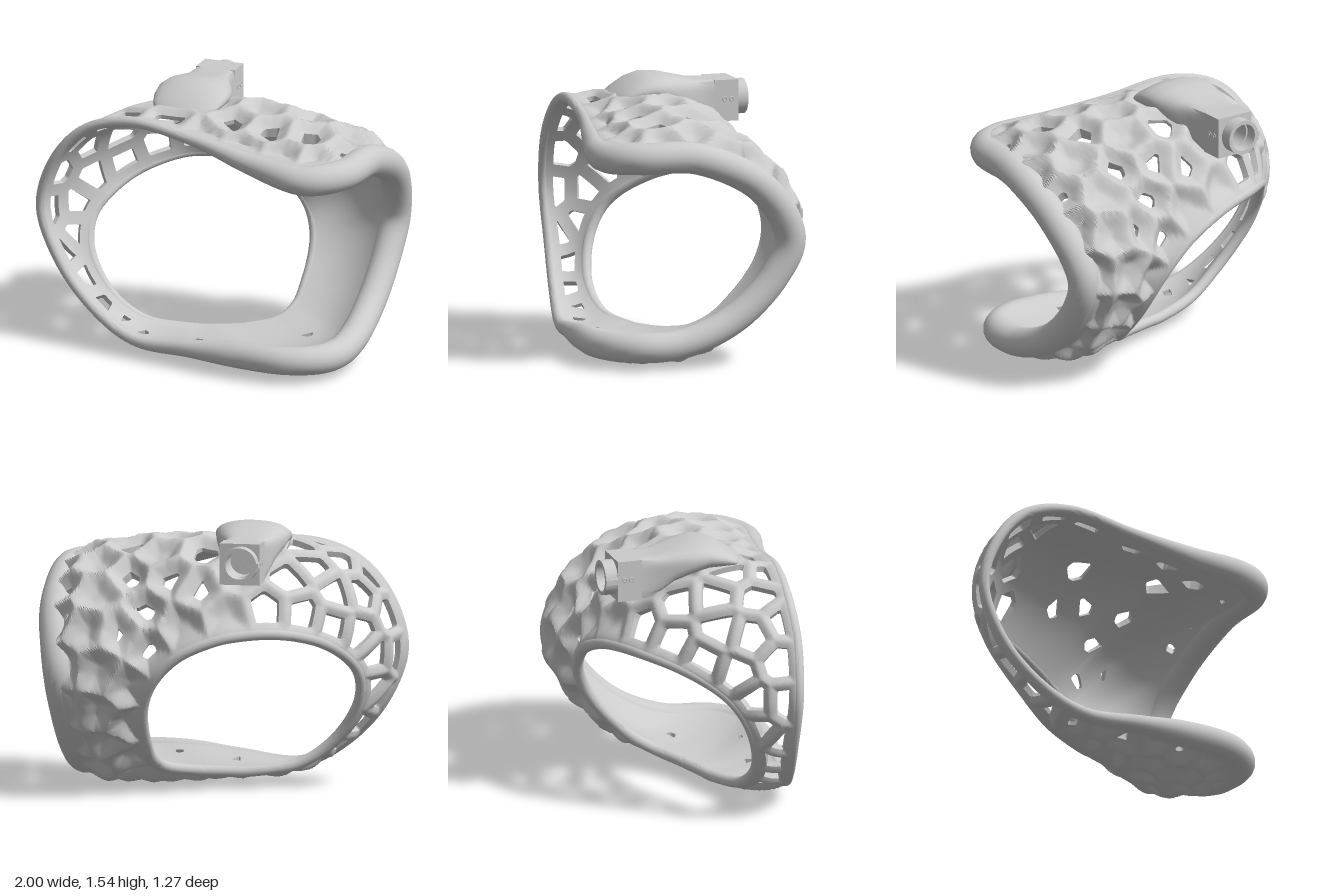
import * as THREE from 'three';
import { mergeVertices, toCreasedNormals } from 'three/addons/utils/BufferGeometryUtils.js';

const V = (x, y, z) => new THREE.Vector3(x, y, z);
const { lerp, clamp, smoothstep } = THREE.MathUtils;
const grey = new THREE.MeshStandardMaterial({ color: 0xcccccc, side: THREE.DoubleSide });
const loop = (a) => {
  const pts = [];
  for (let i = 0; i < a.length; i += 3) pts.push(V(a[i], a[i + 1], a[i + 2]));
  return new THREE.CatmullRomCurve3(pts, true, 'catmullrom', 0.5);
};

// Edge of the front opening, from the right side over the top
const front = loop([
  -.97, .78, .32, -.88, 1.08, .34, -.68, 1.29, .35, -.38, 1.37, .38, 0, 1.32, .42, .35, 1.25, .49,
  .68, 1.205, .54, .87, 1.21, .38, .91, 1.2, .05, .905, 1.03, -.31, .85, .74, -.51, .83, .5, -.43,
  .82, .27, -.2, .82, .14, .1, .79, .12, .38, .6, .12, .53, .3, .12, .53, 0, .11, .5,
  -.35, .1, .44, -.62, .23, .38, -.85, .47, .33]);
// Edge of the back opening, same order
const back = loop([
  -.77, .65, .06, -.71, .78, -.05, -.58, .89, -.23, -.38, .95, -.42, -.15, .94, -.52, 0, .9, -.56,
  .13, .84, -.58, .22, .77, -.58, .29, .69, -.57, .34, .6, -.54, .37, .5, -.49, .38, .4, -.42,
  .38, .3, -.33, .37, .2, -.22, .31, .13, -.1, .16, .1, 0, 0, .09, .06, -.15, .09, .1,
  -.4, .13, .17, -.6, .27, .19, -.74, .47, .14]);
// Per station: bulge of the wall, front rim radius, openness of the lattice
const profile = loop([
  .04, .03, 1, .07, .03, 1, .1, .03, 1, .18, .03, .95, .27, .035, .5, .33, .06, .4,
  .33, .085, .35, .3, .09, .3, .24, .09, .2, .16, .09, 0, .07, .09, 0, .05, .085, 0,
  .05, .085, 0, .06, .085, 0, .06, .085, .1, .055, .08, .25, .04, .075, .3, .03, .05, .4,
  .03, .035, .6, .02, .03, .9, .03, .03, 1]);
const BACK_R = 0.032;
const wrap = (u) => ((u % 1) + 1) % 1;

// Mid-surface of the wall: u runs round the loop, v from front edge to back edge
function wall(u, v) {
  u = wrap(u);
  const f = front.getPoint(u), b = back.getPoint(u);
  const tangent = front.getTangent(u).add(back.getTangent(u));
  const n = tangent.cross(b.clone().sub(f)).normalize();
  return f.lerp(b, v).addScaledVector(n, profile.getPoint(u).x * 4 * v * (1 - v));
}
function wallNormal(u, v) {
  const d = 1e-3;
  const du = wall(u + d, v).sub(wall(u - d, v)), dv = wall(u, v + d).sub(wall(u, v - d));
  return du.cross(dv).normalize();
}

function build(positions, index, crease) {
  let g = new THREE.BufferGeometry();
  g.setAttribute('position', new THREE.Float32BufferAttribute(positions, 3));
  if (index) g.setIndex(index);
  g = mergeVertices(g, 1e-4);
  return toCreasedNormals(g, crease);
}

// Skin a list of equal rings
function skin(rings, closed, crease) {
  const m = rings[0].length, pos = rings.flat().flatMap((p) => [p.x, p.y, p.z]), idx = [];
  const last = closed ? rings.length : rings.length - 1;
  for (let i = 0; i < last; i++) for (let j = 0; j < m; j++) {
    const a = i * m, b = ((i + 1) % rings.length) * m, k = (j + 1) % m;
    idx.push(a + j, a + k, b + k, a + j, b + k, b + j);
  }
  return build(pos, idx, crease);
}

// Rounded rim along one edge of the wall
function rim(curve, v, radius) {
  const rings = [];
  for (let i = 0; i < 200; i++) {
    const u = i / 200, t = curve.getTangent(u), n = wallNormal(u, v);
    n.addScaledVector(t, -n.dot(t)).normalize();
    const b = t.clone().cross(n), c = curve.getPoint(u), r = radius(u), ring = [];
    for (let j = 0; j < 18; j++) {
      const a = (j / 18) * Math.PI * 2;
      ring.push(c.clone().addScaledVector(n, r * Math.cos(a)).addScaledVector(b, r * Math.sin(a)));
    }
    rings.push(ring);
  }
  return skin(rings, true, 2);
}

// Evenly spread cell centres: dart throwing, then relaxation
function cellCentres(samples) {
  let state = 11;
  const rand = () => (state = (state * 16807) % 2147483647) / 2147483647;
  const seeds = [];
  for (let k = 0; k < 9000; k++) {
    const s = samples[Math.floor(rand() * samples.length)];
    if (seeds.every((c) => c.p.distanceTo(s.p) > 0.185)) seeds.push({ p: s.p.clone(), u: s.u });
  }
  for (let pass = 0; pass < 6; pass++) {
    const sums = seeds.map(() => ({ p: V(0, 0, 0), w: 0 }));
    for (const s of samples) {
      let best = 0;
      seeds.forEach((c, i) => {
        if (c.p.distanceToSquared(s.p) < seeds[best].p.distanceToSquared(s.p)) best = i;
      });
      sums[best].p.addScaledVector(s.p, s.area);
      sums[best].w += s.area;
    }
    seeds.forEach((c, i) => { if (sums[i].w) c.p.copy(sums[i].p).divideScalar(sums[i].w); });
  }
  // Frame width round each hole; a large value means a closed, dimpled cell
  for (const c of seeds) {
    const open = profile.getPoint(c.u).z;
    c.frame = open > 0.8 ? 0.038 : rand() < open + 0.2 && open > 0.05 ? lerp(0.085, 0.045, open) : 9;
  }
  return seeds;
}

// Cellular wall: holes cut cleanly out of a fine two-sided grid
function latticeGeometry() {
  const NU = 420, NV = 60, grid = [], samples = [];
  for (let i = 0; i < NU; i++) {
    grid.push(Array.from({ length: NV + 1 }, (_, j) => ({ u: i / NU, v: j / NV, p: wall(i / NU, j / NV) })));
  }
  for (let i = 0; i < NU; i += 3) for (let j = 0; j < NV; j += 3) {
    const { u, p } = grid[i][j];
    const area = p.distanceTo(grid[(i + 1) % NU][j].p) * p.distanceTo(grid[i][j + 1].p);
    samples.push({ u, p, area });
  }
  const seeds = cellCentres(samples);

  for (const row of grid) {
    const span = row.reduce((sum, q, j) => sum + (j ? q.p.distanceTo(row[j - 1].p) : 0), 0);
    const info = profile.getPoint(row[0].u);
    for (const q of row) {
      const own = seeds.reduce((a, b) => (b.p.distanceToSquared(q.p) < a.p.distanceToSquared(q.p) ? b : a));
      const d0 = own.p.distanceToSquared(q.p);
      // Distances to the two nearest cell borders
      let d1 = 1, d2 = 1;
      for (const c of seeds) {
        if (c === own) continue;
        const d = (c.p.distanceToSquared(q.p) - d0) / (2 * c.p.distanceTo(own.p));
        if (d < d1) { d2 = d1; d1 = d; } else if (d < d2) d2 = d;
      }
      const edge = Math.max(0, Math.min(q.v * span - 0.6 * info.y, (1 - q.v) * span - 0.6 * BACK_R));
      d1 = Math.min(d1, edge);
      q.g = d1 - own.frame;
      const th = lerp(info.y, BACK_R, q.v), solid = 1 - clamp(info.z, 0, 1);
      const dip = Math.min(0.055, 1.5 * th) * smoothstep(d1, -0.01, 0.095);
      const node = 0.022 * solid * (1 - smoothstep(d2, 0, 0.1)) * smoothstep(edge, 0, 0.08);
      const n = wallNormal(q.u, q.v);
      q.out = q.p.clone().addScaledVector(n, 0.82 * th - dip + node);
      q.in = q.p.clone().addScaledVector(n, -0.95 * th);
    }
  }

  const pos = [];
  const tri = (...pts) => pts.forEach((p) => pos.push(p.x, p.y, p.z));
  const cut = (a, b) => {
    const k = a.g / (a.g - b.g);
    return { out: a.out.clone().lerp(b.out, k), in: a.in.clone().lerp(b.in, k), g: 0 };
  };
  const emit = (corners) => {
    const poly = [];
    corners.forEach((a, i) => {
      const b = corners[(i + 1) % 3];
      if (a.g < 0) poly.push(a);
      if (a.g < 0 !== b.g < 0) poly.push(a.g < 0 ? cut(a, b) : cut(b, a));
    });
    for (let k = 1; k < poly.length - 1; k++) {
      tri(poly[0].out, poly[k].out, poly[k + 1].out);
      tri(poly[0].in, poly[k + 1].in, poly[k].in);
    }
    poly.forEach((a, i) => {
      const b = poly[(i + 1) % poly.length];
      if (a.g === 0 && b.g === 0) {
        tri(a.out, a.in, b.in);
        tri(a.out, b.in, b.out);
      }
    });
  };
  for (let i = 0; i < NU; i++) for (let j = 0; j < NV; j++) {
    const a = grid[i], b = grid[(i + 1) % NU];
    emit([a[j], b[j], b[j + 1]]);
    emit([a[j], b[j + 1], a[j + 1]]);
  }
  return build(pos, null, 0.9);
}

// Blended mount: [z, x, half width, bottom, top, squareness]
function mountGeometry() {
  const sections = [
    [.24, -.17, .02, 1.38, 1.39, 2], [.2, -.17, .15, 1.37, 1.43, 2], [.15, -.17, .19, 1.37, 1.465, 2],
    [.08, -.17, .21, 1.37, 1.51, 2.1], [0, -.17, .215, 1.37, 1.535, 2.2], [-.1, -.18, .2, 1.35, 1.525, 2.5],
    [-.2, -.185, .165, 1.32, 1.5, 3.5], [-.28, -.195, .13, 1.27, 1.48, 6],
    [-.36, -.195, .115, 1.24, 1.475, 12], [-.4, -.195, .115, 1.24, 1.475, 14],
    [-.4, -.195, .002, 1.36, 1.362, 2]];
  return skin(sections.map(([z, x, w, y0, y1, e]) => Array.from({ length: 40 }, (_, j) => {
    const a = (j / 40) * Math.PI * 2, c = Math.cos(a), s = Math.sin(a);
    const k = Math.pow(Math.abs(c) ** e + Math.abs(s) ** e, -1 / e);
    return V(x + w * s * k, (y0 + y1) / 2 + ((y1 - y0) / 2) * c * k, z);
  })), false, 0.8);
}

export function createModel() {
  const model = new THREE.Group();
  const add = (name, geometry, x = 0, y = 0, z = 0) => {
    const mesh = new THREE.Mesh(geometry, grey);
    mesh.name = name;
    mesh.position.set(x, y, z);
    model.add(mesh);
    return mesh;
  };
  add('latticeWall', latticeGeometry());
  add('frontRim', rim(front, 0, (u) => profile.getPoint(u).y));
  add('backRim', rim(back, 1, () => BACK_R));
  add('mountHump', mountGeometry());

  // Socket block with a round bore, and the collar behind it
  const bore = () => new THREE.Path().absarc(0, 0, 0.078, 0, Math.PI * 2, true);
  const block = new THREE.Shape([[-.115, -.12], [.115, -.12], [.115, .115], [-.115, .115]]
    .map(([x, y]) => new THREE.Vector2(x, y)));
  block.holes.push(bore());
  const collar = new THREE.Shape().absarc(0, 0, 0.1, 0, Math.PI * 2, false);
  collar.holes.push(bore());
  const extrude = (shape, depth) =>
    new THREE.ExtrudeGeometry(shape, { depth, bevelEnabled: false, curveSegments: 32 });
  add('socketBlock', extrude(block, 0.14), -.195, 1.36, -.53);
  add('socketCollar', extrude(collar, 0.08), -.205, 1.36, -.6);
  add('collarLug', new THREE.BoxGeometry(.02, .03, .07), -.305, 1.36, -.565);

  // Screw seats on both sides of the block
  for (const x of [-.31, -.08]) for (const z of [-.45, -.49]) {
    add('screwSeat', new THREE.TorusGeometry(.011, .004, 8, 16), x, 1.365, z).rotation.y = Math.PI / 2;
  }
  return model;
}
